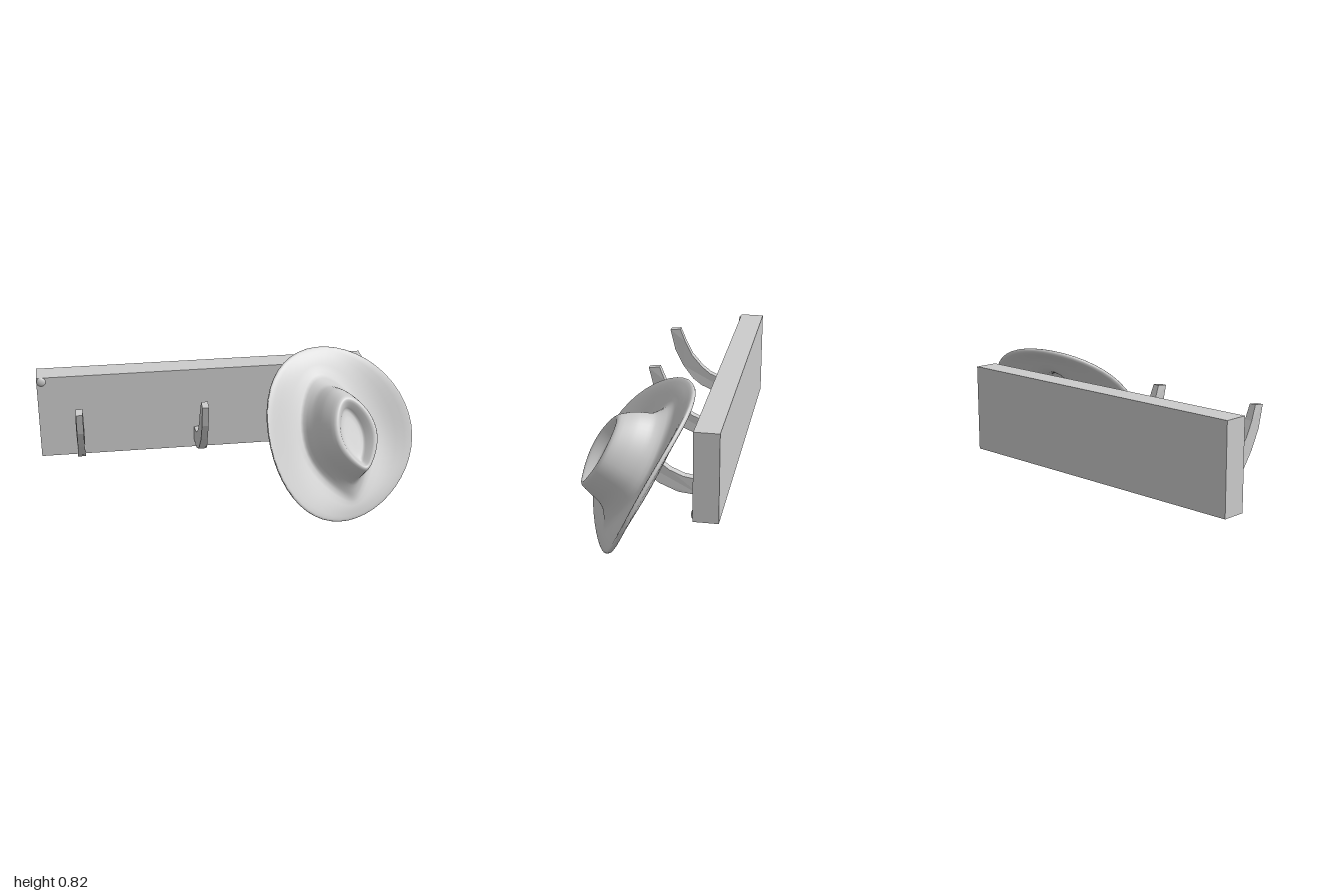
import * as THREE from 'three';

const grey = () => new THREE.MeshStandardMaterial({ color: 0xcccccc });

function add(group, name, geometry, x = 0, y = 0, z = 0) {
  const mesh = new THREE.Mesh(geometry, grey());
  mesh.name = name;
  mesh.position.set(x, y, z);
  group.add(mesh);
  return mesh;
}

// Curved hook: side profile in (z, y), extruded across x, slightly narrower at the tip
function hookGeometry() {
  const profile = [
    [-0.24, 0.283], [-0.125, 0.295], [-0.03, 0.335], [0.02, 0.373], [0.08, 0.45], [0.13, 0.55], [0.158, 0.668],
    [0.1, 0.675], [0.07, 0.6], [0.03, 0.52], [-0.03, 0.45], [-0.08, 0.41], [-0.15, 0.38], [-0.24, 0.366],
  ];
  const shape = new THREE.Shape(profile.map(([z, y]) => new THREE.Vector2(z, y)));
  const width = 0.042;
  const geo = new THREE.ExtrudeGeometry(shape, { depth: width, bevelEnabled: false });
  geo.translate(0, 0, -width / 2);
  geo.rotateY(-Math.PI / 2);
  const pos = geo.attributes.position;
  for (let i = 0; i < pos.count; i++) {
    if (pos.getZ(i) > 0.075) pos.setX(i, pos.getX(i) * 0.82);
  }
  geo.computeVertexNormals();
  return geo;
}

// Hat: teardrop rings swept from the crown dent, out over the brim and back inside.
// Each ring: half width, back reach, front reach, height, rise at the sides, pinch at the front
function hatGeometry() {
  const rings = [
    [0, 0, 0, 0.168, 0, 0.45],
    [0.055, 0.12, -0.13, 0.17, 0, 0.45],
    [0.072, 0.145, -0.158, 0.188, 0, 0.45],
    [0.1, 0.178, -0.182, 0.213, 0.008, 0.42],
    [0.126, 0.205, -0.2, 0.2, 0.008, 0.4],
    [0.15, 0.245, -0.222, 0.14, 0, 0.4],
    [0.163, 0.264, -0.24, 0.09, 0, 0.4],
    [0.178, 0.282, -0.27, 0.048, 0, 0.42],
    [0.205, 0.345, -0.34, 0.002, 0, 0.45],
    [0.31, 0.425, -0.395, -0.008, 0.035, 0.15],
    [0.42, 0.485, -0.44, -0.022, 0.102, 0],
    [0.432, 0.495, -0.45, -0.035, 0.108, 0],
    [0.418, 0.48, -0.437, -0.048, 0.104, 0],
    [0.31, 0.42, -0.39, -0.032, 0.035, 0.15],
    [0.195, 0.33, -0.32, -0.018, 0, 0.42],
    [0.155, 0.25, -0.228, 0.06, 0, 0.4],
    [0.125, 0.205, -0.195, 0.14, 0, 0.4],
    [0.09, 0.16, -0.16, 0.175, 0, 0.4],
    [0, 0, 0, 0.15, 0, 0.4],
  ];
  const curve = (o) => new THREE.CatmullRomCurve3(
    rings.map((r) => new THREE.Vector3(r[o], r[o + 1], r[o + 2])), false, 'catmullrom', 0.4);
  const size = curve(0), form = curve(3);
  const rows = (rings.length - 1) * 3, cols = 48;
  const positions = [], indices = [];
  for (let i = 0; i <= rows; i++) {
    const s = size.getPoint(i / rows), f = form.getPoint(i / rows);
    for (let j = 0; j < cols; j++) {
      const t = (j / cols) * Math.PI * 2;
      const sin = Math.sin(t), cos = Math.cos(t);
      const pinch = 1 - f.z * (cos < 0 ? 1 : 0.45) * cos * cos;
      positions.push(s.x * sin * pinch, cos > 0 ? s.y * cos : -s.z * cos, f.x + f.y * sin * sin);
      if (i < rows) {
        const a = i * cols + j, b = i * cols + ((j + 1) % cols);
        indices.push(a, b, a + cols, b, b + cols, a + cols);
      }
    }
  }
  const geo = new THREE.BufferGeometry();
  geo.setAttribute('position', new THREE.Float32BufferAttribute(positions, 3));
  geo.setIndex(indices);
  geo.computeVertexNormals();
  return geo;
}

export function createModel() {
  const model = new THREE.Group();
  model.name = 'hatRack';

  // Wall board
  add(model, 'board', new THREE.BoxGeometry(1.77, 0.465, 0.126), -0.115, 0.4775, -0.293);

  // Three hooks
  const hook = hookGeometry();
  [-0.785, -0.145, 0.545].forEach((x) => add(model, 'hook', hook, x, 0, 0));

  // Domed screw heads in opposite corners
  const dome = new THREE.SphereGeometry(0.025, 16, 8, 0, Math.PI * 2, 0, Math.PI / 2);
  dome.scale(1, 0.5, 1);
  dome.rotateX(Math.PI / 2);
  [[-0.975, 0.687], [0.74, 0.272]].forEach(([x, y]) => add(model, 'screwHead', dome, x, y, -0.231));

  // Hat hanging tilted on the last hook
  const hat = add(model, 'hat', hatGeometry());
  const n = new THREE.Vector3(0.31, 0.5, 0.81).normalize();
  const v = new THREE.Vector3(-0.23, 0.865, -0.446);
  v.addScaledVector(n, -v.dot(n)).normalize();
  const u = new THREE.Vector3().crossVectors(v, n);
  hat.quaternion.setFromRotationMatrix(new THREE.Matrix4().makeBasis(u, v, n));
  hat.position.set(0.56, 0.41, 0.08);

  return model;
}
